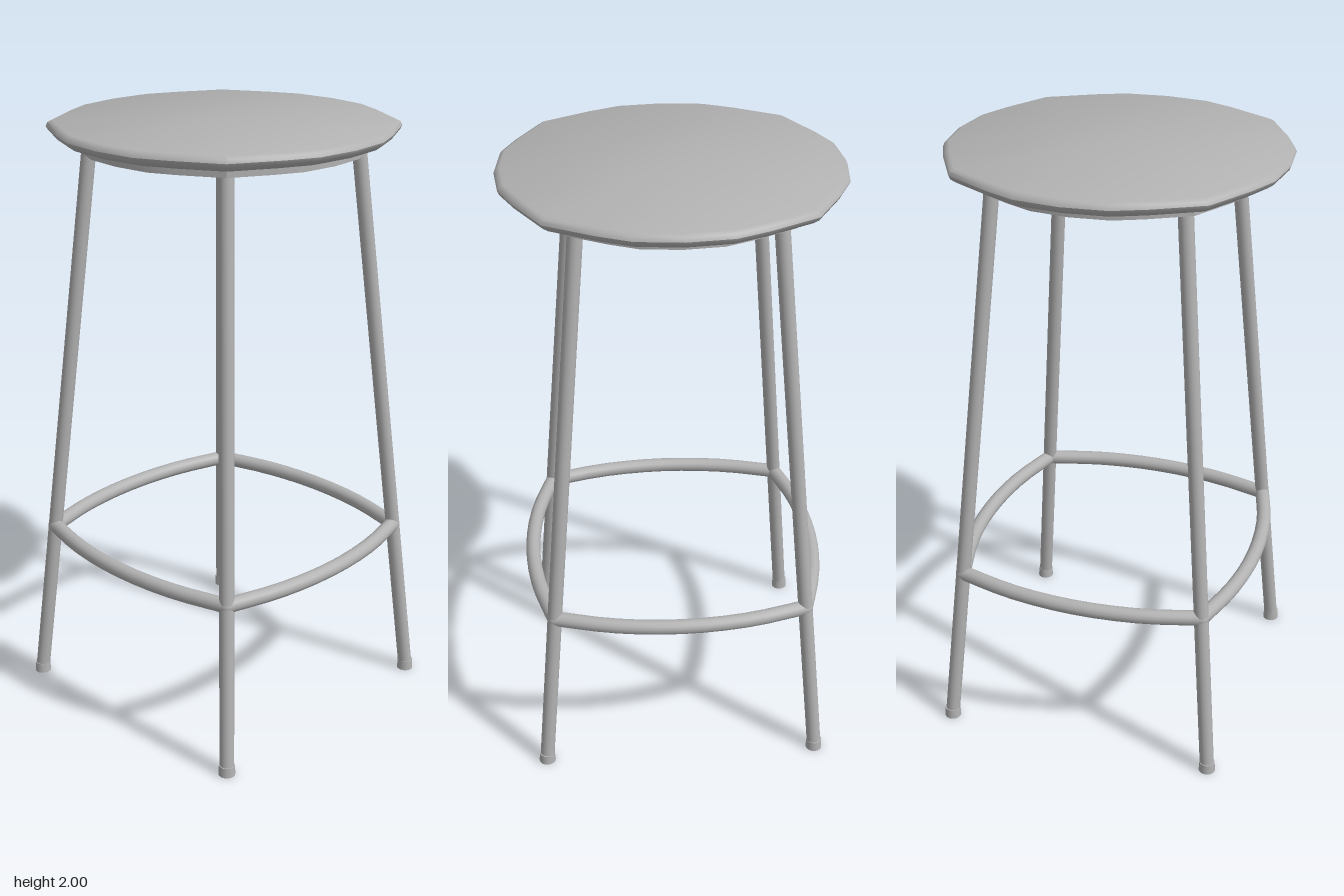
import * as THREE from 'three';
import { toCreasedNormals } from 'three/addons/utils/BufferGeometryUtils.js';

const metal = new THREE.MeshStandardMaterial({ color: 0xb2b2b2 });
metal.name = 'plain grey';

// Four bowed sides meeting at soft corners on the diagonals
function seatOutline() {
  const side = [[0.4, -0.4], [0.485, -0.247], [0.53, -0.145], [0.545, 0], [0.53, 0.145], [0.485, 0.247]];
  const points = [];
  for (let q = 0; q < 4; q++) {
    const c = Math.round(Math.cos(q * Math.PI / 2)), s = Math.round(Math.sin(q * Math.PI / 2));
    for (const [x, z] of side) points.push([x * c - z * s, x * s + z * c]);
  }
  return points;
}

// Skin a profile of [scale, height] steps around the outline
function loft(profile, crease) {
  const outline = seatOutline(), n = outline.length;
  const positions = [], index = [];
  for (const [s, y] of profile) for (const [x, z] of outline) positions.push(x * s, y, z * s);
  for (let r = 0; r < profile.length - 1; r++) {
    for (let i = 0; i < n; i++) {
      const a = r * n + i, b = r * n + (i + 1) % n, c = a + n, d = b + n;
      if (profile[r + 1][0] > 0) index.push(a, c, d);
      if (profile[r][0] > 0) index.push(a, d, b);
    }
  }
  const geometry = new THREE.BufferGeometry();
  geometry.setAttribute('position', new THREE.Float32BufferAttribute(positions, 3));
  geometry.setIndex(index);
  return toCreasedNormals(geometry, crease);
}

function add(parent, name, geometry) {
  const mesh = new THREE.Mesh(geometry, metal);
  mesh.name = name;
  parent.add(mesh);
  return mesh;
}

// Cylinder between two points
function addRod(parent, name, from, to, radius) {
  const dir = to.clone().sub(from);
  const mesh = add(parent, name, new THREE.CylinderGeometry(radius, radius, dir.length(), 16));
  mesh.position.copy(from).addScaledVector(dir, 0.5);
  mesh.quaternion.setFromUnitVectors(new THREE.Vector3(0, 1, 0), dir.normalize());
}

export function createModel() {
  const stool = new THREE.Group();
  stool.name = 'stool';

  // Seat with a rounded rim
  add(stool, 'seat', loft([
    [0, 1.947], [0.9, 1.947], [0.955, 1.955], [0.99, 1.969],
    [1, 1.981], [0.99, 1.993], [0.965, 2], [0, 2],
  ], 0.75));

  // Flat mounting ring below the seat
  add(stool, 'mountingRing', loft([
    [0.685, 1.922], [0.853, 1.922], [0.853, 1.95], [0.685, 1.95], [0.685, 1.922],
  ], 0.5));

  const legAt = (y) => {
    const x = 0.467 - 0.163 * y / 1.92;
    return new THREE.Vector3(x, y, x);
  };
  const railY = 0.58, corner = legAt(railY).x, bow = 0.49;

  for (let q = 0; q < 4; q++) {
    const quarter = new THREE.Group();
    quarter.name = 'legAndRail' + (q + 1);
    quarter.rotation.y = q * Math.PI / 2;
    stool.add(quarter);

    // Splayed leg with a slightly wider foot cap
    addRod(quarter, 'leg', legAt(0.01), legAt(1.935), 0.024);
    const foot = add(quarter, 'footCap', new THREE.CylinderGeometry(0.026, 0.028, 0.034, 16));
    foot.position.copy(legAt(0.017));

    // Bowed footrest rail, joined at the leg
    const path = new THREE.CatmullRomCurve3([-1, -0.6, -0.3, 0, 0.3, 0.6, 1].map((t) =>
      new THREE.Vector3(bow - (bow - corner) * t * t, railY, corner * t)));
    add(quarter, 'footrestRail', new THREE.TubeGeometry(path, 12, 0.025, 14));
    const joint = add(quarter, 'railJoint', new THREE.SphereGeometry(0.025, 16, 12));
    joint.position.set(corner, railY, corner);
  }
  return stool;
}
